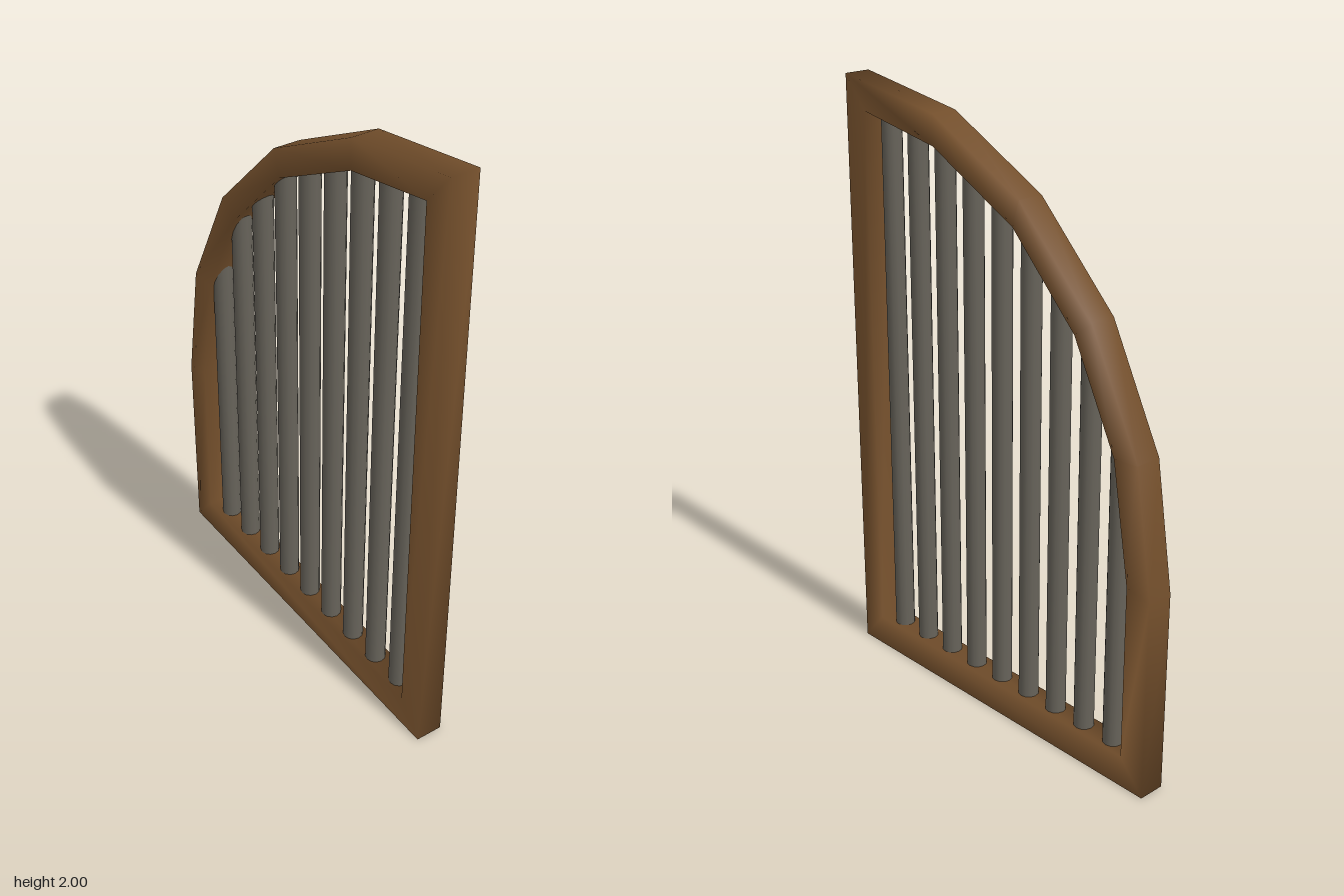
import * as THREE from 'three';

export function createModel() {
  const group = new THREE.Group();
  const wood = new THREE.MeshStandardMaterial({ color: 0x7d5630 });
  wood.name = 'brown wood';
  const iron = new THREE.MeshStandardMaterial({ color: 0x67635a });
  iron.name = 'grey iron';

  // Matching outer and inner outlines of the frame as [z, y]
  const half = 0.045;
  const outer = [[0.665, 0], [0.665, 2]];
  for (let i = 1; i <= 5; i++) {
    const a = (i * Math.PI) / 10;
    outer.push([0.665 - 1.33 * Math.sin(a), 0.67 + 1.33 * Math.cos(a)]);
  }
  outer.push([-0.665, 0]);
  const inner = [[0.575, 0.105], [0.575, 1.895], [0.255, 1.838], [-0.09, 1.662],
    [-0.345, 1.402], [-0.51, 1.075], [-0.575, 0.69], [-0.575, 0.105]];

  // Frame: a square section swept around the outline, softly shaded
  const positions = [];
  const index = [];
  const n = outer.length;
  for (let i = 0; i < n; i++) {
    const [oz, oy] = outer[i];
    const [iz, iy] = inner[i];
    positions.push(half, oy, oz, half, iy, iz, -half, iy, iz, -half, oy, oz);
    const next = (i + 1) % n;
    for (let j = 0; j < 4; j++) {
      const k = (j + 1) % 4;
      const a = i * 4 + j, b = i * 4 + k, c = next * 4 + k, d = next * 4 + j;
      index.push(a, b, c, a, c, d);
    }
  }
  const frameGeometry = new THREE.BufferGeometry();
  frameGeometry.setAttribute('position', new THREE.Float32BufferAttribute(positions, 3));
  frameGeometry.setIndex(index);
  frameGeometry.computeVertexNormals();
  const frame = new THREE.Mesh(frameGeometry, wood);
  frame.name = 'archedFrame';
  group.add(frame);

  // Height of the outer arch at a given z
  const archHeight = (z) => {
    for (let i = 1; i < 6; i++) {
      const [z0, y0] = outer[i];
      const [z1, y1] = outer[i + 1];
      if (z >= z1) return y0 + ((y1 - y0) * (z - z0)) / (z1 - z0);
    }
    return 0.67;
  };

  // Upright bars, with both ends sunk into the frame
  const radius = 0.033;
  const bottom = 0.06;
  for (let i = 0; i < 9; i++) {
    const z = 0.5 - i * 0.125;
    const top = archHeight(z - radius) - 0.03;
    const bar = new THREE.Mesh(new THREE.CylinderGeometry(radius, radius, top - bottom, 12), iron);
    bar.position.set(0, (top + bottom) / 2, z);
    bar.name = 'bar' + (i + 1);
    group.add(bar);
  }
  return group;
}
